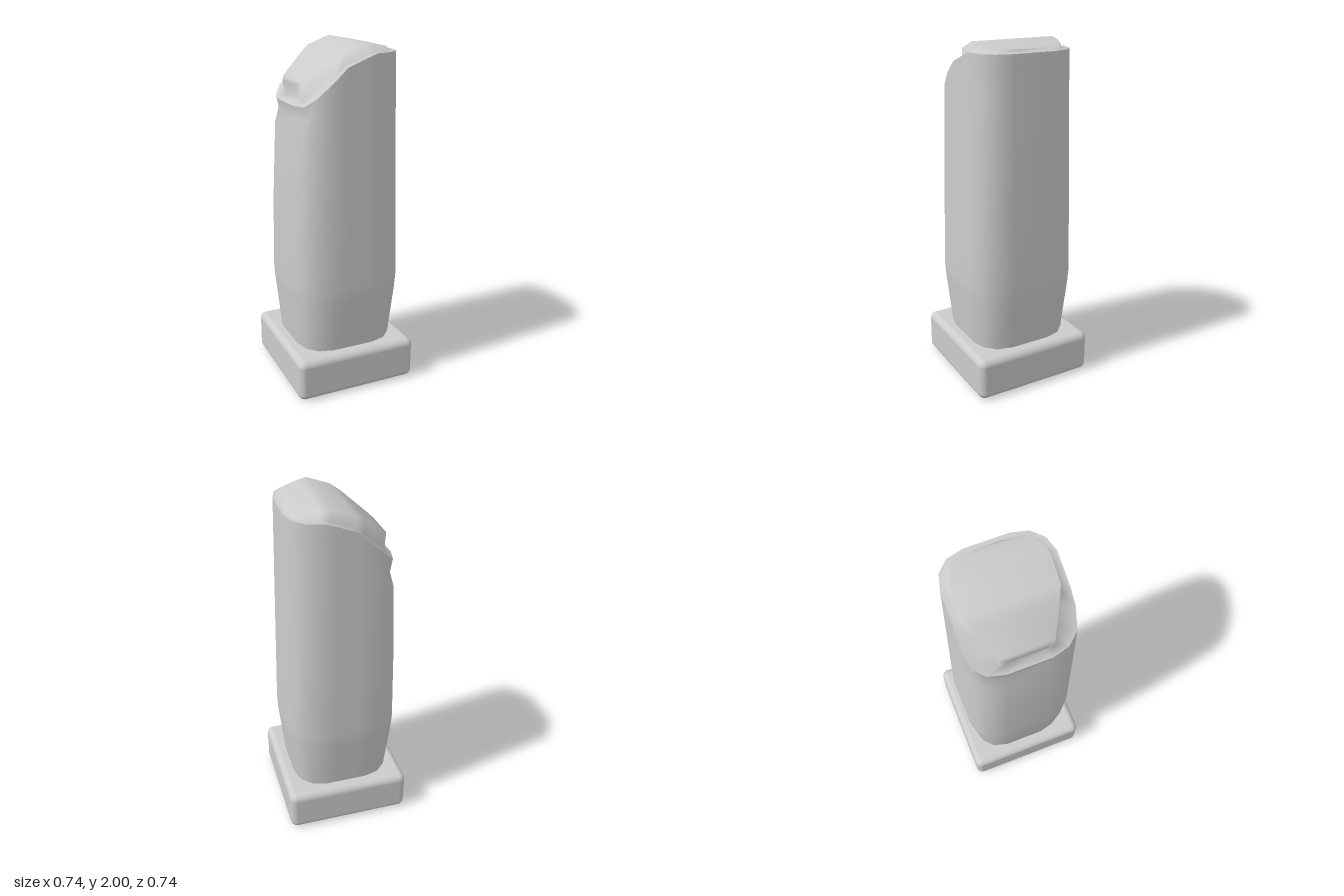
import * as THREE from 'three';
import { RoundedBoxGeometry } from 'three/addons/geometries/RoundedBoxGeometry.js';

// Half outlines as [x, z], running from -x to +x; mirrored across z
const WALL = [[-1, .41], [-.92, .72], [-.72, .92], [-.42, 1], [-.16, 1], [.2, 1], [.42, 1], [.72, .92], [.92, .72], [1, .41]];
const CAP = [[-.264, .1], [-.245, .145], [-.17, .185], [-.1, .22], [-.05, .243], [.08, .248], [.13, .247], [.21, .22], [.245, .165], [.264, .06]];

// Height curves along x for the wall rim and the cap surface
const RIM = [[-.285, 1.675], [-.24, 1.705], [-.05, 1.885], [.12, 1.95], [.3, 1.95]];
const CROWN = [[-.264, 1.78], [-.07, 1.945], [.08, 2], [.264, 1.965]];

function sample(curve, x) {
  if (x <= curve[0][0]) return curve[0][1];
  for (let i = 1; i < curve.length; i++) {
    const [x0, y0] = curve[i - 1], [x1, y1] = curve[i];
    if (x <= x1) return y0 + (y1 - y0) * (x - x0) / (x1 - x0);
  }
  return curve[curve.length - 1][1];
}

const mirrorRing = half => [...half, ...half.slice().reverse().map(([x, y, z]) => [x, y, -z])];

// Skin a stack of rings; optionally close the last ring with strips across z
function loft(halfRings, closeTop) {
  const rings = halfRings.map(mirrorRing);
  const n = rings[0].length;
  const index = [];
  const quad = (a, b, c, d) => index.push(a, b, c, a, c, d);
  for (let j = 0; j < rings.length - 1; j++) {
    for (let i = 0; i < n; i++) {
      const k = (i + 1) % n;
      quad(j * n + i, j * n + k, (j + 1) * n + k, (j + 1) * n + i);
    }
  }
  if (closeTop) {
    const o = (rings.length - 1) * n;
    for (let i = 0; i < n / 2 - 1; i++) quad(o + i, o + i + 1, o + n - 2 - i, o + n - 1 - i);
  }
  const g = new THREE.BufferGeometry();
  g.setAttribute('position', new THREE.Float32BufferAttribute(rings.flat(2), 3));
  g.setIndex(index);
  g.computeVertexNormals();
  return g;
}

export function createModel() {
  const group = new THREE.Group();
  const material = new THREE.MeshStandardMaterial({ color: 0xcccccc, side: THREE.DoubleSide });
  const add = (name, geometry) => {
    const mesh = new THREE.Mesh(geometry, material);
    mesh.name = name;
    group.add(mesh);
    return mesh;
  };

  // Rounded square foot
  add('base', new RoundedBoxGeometry(.735, .25, .735, 4, .04)).position.y = .125;

  // Column: flares above the foot, then tapers to the sloping rim
  const taper = y => .327 - .03 * Math.max(0, y - .65) / 1.3;
  const level = (y, s) => WALL.map(([x, z]) => [x * s, y, z * s]);
  // Rows below the rim follow its slope; the low side is dented
  const rimRow = (drop, dent) => WALL.map(([x, z]) => {
    const y = sample(RIM, x * .298) - drop;
    const s = taper(y);
    return [x * s * (x < -.9 ? dent : 1), y, z * s];
  });
  const rim = rimRow(0, .945);
  add('column', loft([
    level(.2, .287), level(.25, .292), level(.56, .322), level(.65, .327), level(1.1, taper(1.1)),
    rimRow(.16, .965), rimRow(.075, .89), rim,
  ], false));

  // Cap: narrow shelf, short wall and curved sloping top
  const capFoot = CAP.map(([x, z]) => {
    const fx = Math.max(x, -.24);
    return [fx, sample(RIM, fx), z];
  });
  const capTop = CAP.map(([x, z]) => [x, sample(CROWN, x), z]);
  add('cap', loft([rim, capFoot, capTop], true));

  return group;
}
